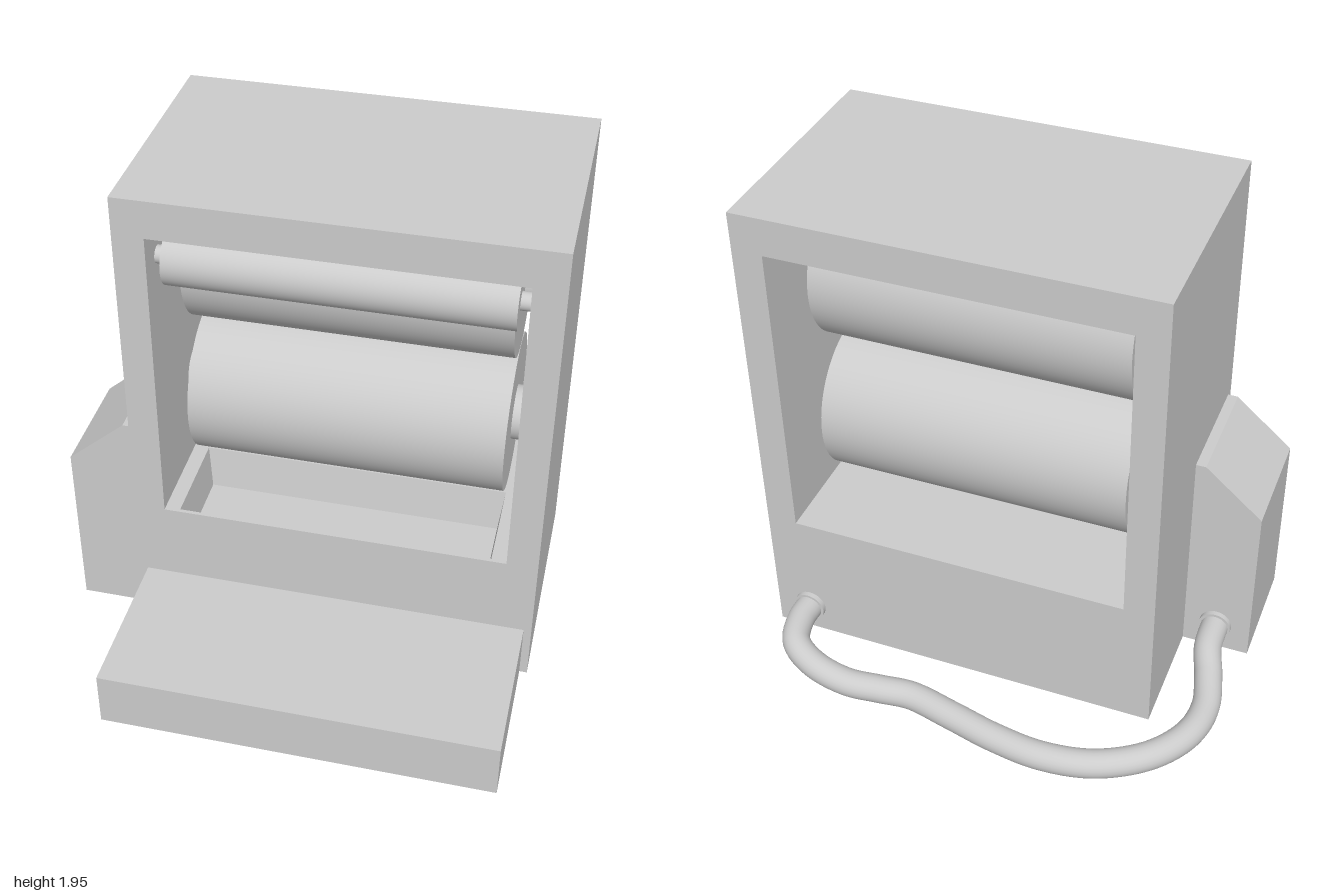
import * as THREE from 'three';

const thin = new THREE.MeshStandardMaterial({ color: 0xcccccc, side: THREE.DoubleSide });
const solid = new THREE.MeshStandardMaterial({ color: 0xcccccc });

// Main dimensions
const L = -0.66, R = 0.93, TOP = 1.95, BACK = -0.59, FRONT = 0.38;
const WL = -0.54, WR = 0.81, WB = 0.56, WT = 1.8; // window opening
const MID_X = 0.135, MID_Z = (BACK + FRONT) / 2;

function add(parent, name, geometry, material = thin) {
  const mesh = new THREE.Mesh(geometry, material);
  mesh.name = name;
  parent.add(mesh);
  return mesh;
}

function group(parent, name) {
  const g = new THREE.Group();
  g.name = name;
  parent.add(g);
  return g;
}

// Flat-faced skin joining two matching rows of [x, y, z] points
function skin(a, b, closed = false) {
  const pos = [];
  const n = a.length;
  for (let i = 0; i < (closed ? n : n - 1); i++) {
    const j = (i + 1) % n;
    pos.push(...a[i], ...b[i], ...b[j], ...a[i], ...b[j], ...a[j]);
  }
  const g = new THREE.BufferGeometry();
  g.setAttribute('position', new THREE.Float32BufferAttribute(pos, 3));
  g.computeVertexNormals();
  return g;
}

// Sweep an x-y profile from z0 to z1
const sweep = (profile, z0, z1, closed) =>
  skin(profile.map(([x, y]) => [x, y, z1]), profile.map(([x, y]) => [x, y, z0]), closed);

const rect = (x0, x1, y0, y1) => [[x0, y0], [x1, y0], [x1, y1], [x0, y1]];
const toPath = (pts) => pts.map(([x, y]) => new THREE.Vector2(x, y));

// Flat panel in the x-y plane at depth z, with an optional hole
function panel(outline, z, hole) {
  const shape = new THREE.Shape(toPath(outline));
  if (hole) shape.holes.push(new THREE.Path(toPath(hole)));
  const g = new THREE.ShapeGeometry(shape);
  return g.translate(0, 0, z);
}

// Cylinder lying along x
function bar(parent, name, radius, x0, x1, y, z) {
  const g = new THREE.CylinderGeometry(radius, radius, x1 - x0, 64);
  g.rotateZ(Math.PI / 2);
  add(parent, name, g, solid).position.set((x0 + x1) / 2, y, z);
}

export function createModel() {
  const model = new THREE.Group();
  model.name = 'rollerMachine';

  // Hollow housing, open underneath, with a window right through it
  const housing = group(model, 'housing');
  const windowRect = rect(WL, WR, WB, WT);
  const tray = { x0: -0.63, x1: 0.9, h: 0.23 };
  add(housing, 'housingSidesAndTop', sweep([[R, 0], [R, TOP], [L, TOP], [L, 0]], BACK, FRONT));
  add(housing, 'frontPanel', panel([
    [L, 0], [tray.x0, 0], [tray.x0, tray.h], [tray.x1, tray.h], [tray.x1, 0], [R, 0], [R, TOP], [L, TOP],
  ], FRONT, windowRect));
  const back = panel(rect(L, R, 0, TOP), 0, windowRect);
  back.rotateY(Math.PI).scale(-1, 1, 1);
  back.setIndex([...back.index.array].reverse());
  back.translate(0, 0, BACK);
  back.computeVertexNormals();
  add(housing, 'backPanel', back);
  add(housing, 'windowLining', sweep([[WL, WB], [WL, WT], [WR, WT], [WR, WB]], BACK, FRONT));

  // Window floor with a shallow tapered trough sunk into its front half
  const loop = (x0, x1, y, z0, z1) => [[x0, y, z1], [x1, y, z1], [x1, y, z0], [x0, y, z0]];
  const rim = loop(-0.48, 0.75, WB, -0.03, 0.365);
  const base = loop(-0.46, 0.73, 0.39, 0, 0.33);
  add(housing, 'windowFloor', skin(rim, loop(WL, WR, WB, BACK, FRONT), true));
  add(housing, 'troughWalls', skin(base, rim, true));
  add(housing, 'troughBottom', skin([base[0], base[1]], [base[3], base[2]]));

  // Front tray, open underneath and into the housing
  const feed = group(model, 'frontTray');
  add(feed, 'trayTopAndSides', sweep([
    [tray.x1, 0], [tray.x1, tray.h], [tray.x0, tray.h], [tray.x0, 0],
  ], FRONT, 1));
  add(feed, 'trayFront', panel(rect(tray.x0, tray.x1, 0, tray.h), 1));

  // Side box with a sloping top
  const side = group(model, 'sideBox');
  const profile = [[L, 0.92], [-0.7, 0.92], [-0.93, 0.72], [-0.93, 0]];
  add(side, 'sideBoxSkin', sweep(profile, -0.12, 0.34));
  for (const z of [-0.12, 0.34]) add(side, 'sideBoxEnd', panel([...profile, [L, 0]], z));

  // Rollers and their shafts: [name, radius, half length, shaft radius, y, z]
  const rollers = group(model, 'rollers');
  for (const [name, r, half, shaft, y, z] of [
    ['lowerRoller', 0.312, 0.615, 0.107, 0.912, MID_Z],
    ['upperRoller', 0.308, 0.615, 0.107, 1.542, MID_Z],
    ['smallRoller', 0.107, 0.632, 0.034, 1.664, 0.255],
  ]) {
    const g = group(rollers, name);
    bar(g, name + 'Drum', r, MID_X - half, MID_X + half, y, z);
    bar(g, name + 'Shaft', shaft, WL, WR, y, z);
  }

  // Hose lying on the ground from the housing back to the side box
  const hose = group(model, 'hose');
  const path = new THREE.CatmullRomCurve3([
    [0.785, 0.125, -0.59], [0.785, 0.125, -0.68], [0.75, 0.115, -0.79], [0.65, 0.09, -0.85],
    [0.5, 0.062, -0.87], [0.36, 0.056, -0.855], [0.23, 0.056, -0.843], [0.05, 0.056, -0.88],
    [-0.15, 0.056, -0.925], [-0.35, 0.056, -0.945], [-0.55, 0.056, -0.91], [-0.73, 0.056, -0.8],
    [-0.835, 0.056, -0.65], [-0.86, 0.06, -0.5], [-0.83, 0.085, -0.36], [-0.795, 0.115, -0.25],
    [-0.79, 0.125, -0.12],
  ].map((p) => new THREE.Vector3(...p)));
  add(hose, 'hoseTube', new THREE.TubeGeometry(path, 120, 0.055, 24), solid);
  for (const [x, z] of [[0.785, BACK], [-0.79, -0.12]]) {
    const collar = new THREE.CylinderGeometry(0.065, 0.065, 0.02, 32).rotateX(Math.PI / 2);
    add(hose, 'hoseCollar', collar, solid).position.set(x, 0.125, z - 0.01);
  }

  return model;
}
